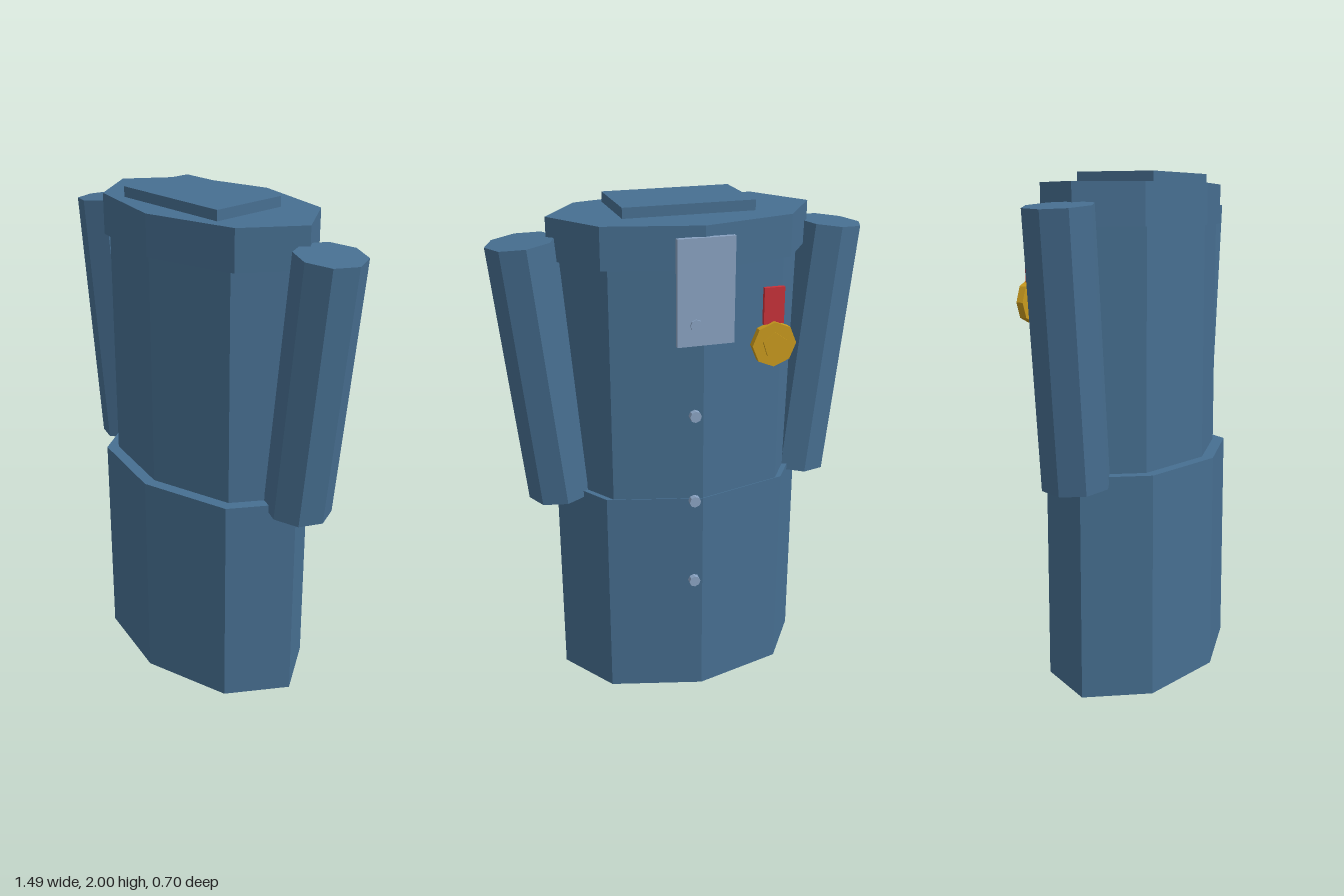
import * as THREE from 'three';

const material = (name, color) => {
  const m = new THREE.MeshStandardMaterial({ color, flatShading: true });
  m.name = name;
  return m;
};

export function createModel() {
  const model = new THREE.Group();
  model.name = 'coat';
  const cloth = material('blue cloth', 0x476f91);
  const pale = material('pale blue', 0x89a2c1);
  const red = material('red ribbon', 0xc8323a);
  const gold = material('gold', 0xc99a1e);

  const add = (name, geometry, mat, x, y, z) => {
    const mesh = new THREE.Mesh(geometry, mat);
    mesh.name = name;
    mesh.position.set(x, y, z);
    model.add(mesh);
    return mesh;
  };

  // Upright eight-sided prism, flattened front to back
  const prism = (name, rx, rz, y0, y1, z) => {
    const g = new THREE.CylinderGeometry(1, 1, y1 - y0, 8).scale(rx, 1, rz);
    add(name, g, cloth, 0, (y0 + y1) / 2, z);
  };
  // Short disc facing the back, first corner upwards
  const disc = (name, r, depth, sides, mat, x, y, z) => {
    const g = new THREE.CylinderGeometry(r, r, depth, sides).rotateX(-Math.PI / 2);
    add(name, g, mat, x, y, z);
  };

  // Body
  prism('skirt', 0.518, 0.326, 0, 0.88, 0.022);
  prism('torso', 0.48, 0.3, 0.88, 1.8, 0);
  prism('shoulders', 0.518, 0.31, 1.8, 1.96, 0);
  add('collar', new THREE.BoxGeometry(0.515, 0.04, 0.32), cloth, 0, 1.98, 0.04);

  // Sleeves, splayed outwards at the top
  for (const side of [-1, 1]) {
    const sleeve = add(side > 0 ? 'leftSleeve' : 'rightSleeve',
      new THREE.CylinderGeometry(0.133, 0.133, 1.035, 8), cloth, side * 0.559, 1.361, 0);
    sleeve.rotation.z = -side * 0.104;
  }

  // Panel and buttons
  add('panel', new THREE.BoxGeometry(0.22, 0.4, 0.02), pale, 0, 1.72, -0.312);
  for (const y of [1.6, 1.24, 0.88, 0.52]) {
    disc('button', 0.023, 0.022, 8, pale, 0.039, y, -0.318);
  }

  // Medal
  add('ribbon', new THREE.BoxGeometry(0.08, 0.14, 0.016), red, -0.262, 1.65, -0.322);
  disc('medal', 0.087, 0.028, 8, gold, -0.262, 1.504, -0.33);
  disc('medalCentre', 0.05, 0.01, 5, gold, -0.262, 1.504, -0.348);

  return model;
}
